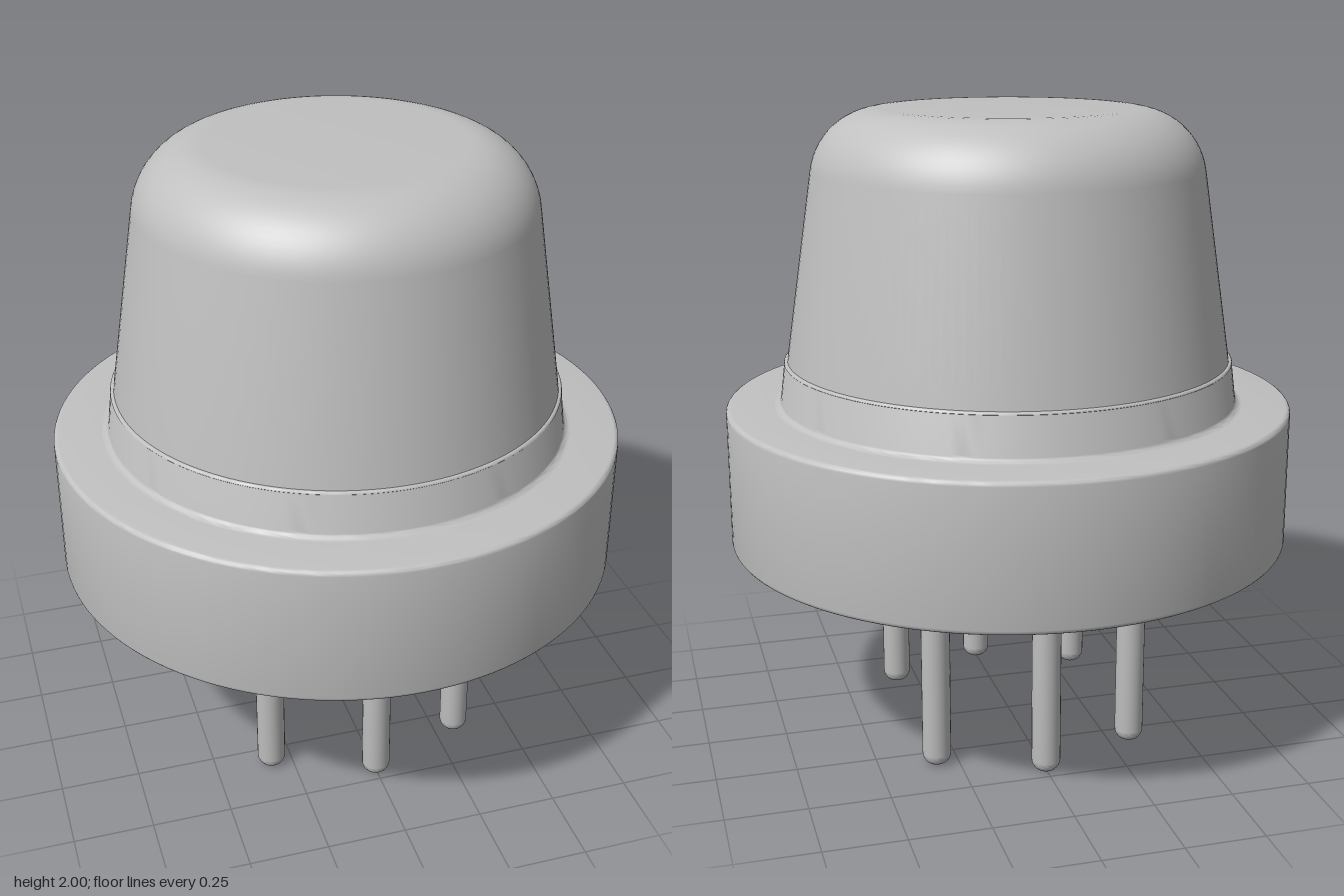
import * as THREE from 'three';
import { toCreasedNormals } from 'three/addons/utils/BufferGeometryUtils.js';

const grey = new THREE.MeshStandardMaterial({ color: 0xc0c0c0 });
grey.name = 'grey metal';

// Points along an arc in the (radius, height) plane, angles in degrees
function arc(cx, cy, r, from, to, steps) {
  const points = [];
  for (let i = 0; i <= steps; i++) {
    const a = THREE.MathUtils.degToRad(from + ((to - from) * i) / steps);
    points.push([cx + r * Math.cos(a), cy + r * Math.sin(a)]);
  }
  return points;
}

// Turned part from a bottom-to-top profile, with sharp edges kept
function turned(name, profile, segments) {
  const points = profile.map(([r, y]) => new THREE.Vector2(Math.max(r, 0), y));
  const geometry = toCreasedNormals(new THREE.LatheGeometry(points, segments), 0.6);
  const mesh = new THREE.Mesh(geometry, grey);
  mesh.name = name;
  return mesh;
}

export function createModel() {
  const model = new THREE.Group();
  model.name = 'gasSensor';

  // Round base with slightly eased rims
  model.add(turned('base', [
    [0, 0.645],
    ...arc(0.875, 0.66, 0.015, -90, 0, 4),
    ...arc(0.875, 1.075, 0.015, 0, 90, 4),
    [0.6, 1.09],
  ], 128));

  // Tapered collar, flared where it meets the base
  model.add(turned('collar', [
    ...arc(0.74, 1.112, 0.022, 270, 188, 6),
    [0.704, 1.222],
    ...arc(0.697, 1.222, 0.008, 8, 90, 3),
    [0.66, 1.23],
  ], 128));

  // Tapered cap with a broad rounded shoulder and flat top
  model.add(turned('cap', [
    [0.695, 1.225],
    ...arc(0.39, 1.782, 0.218, 9, 90, 14),
    [0, 2],
  ], 128));

  // Six round-ended pins on a ring
  const pins = new THREE.Group();
  pins.name = 'pins';
  for (const degrees of [45, 90, 135, 225, 270, 315]) {
    const a = THREE.MathUtils.degToRad(degrees);
    const pin = turned('pin', [
      [0, 0],
      ...arc(0.007, 0.038, 0.038, -90, 0, 7),
      [0.045, 0.66],
    ], 24);
    pin.position.set(0.45 * Math.cos(a), 0.005, 0.45 * Math.sin(a));
    pins.add(pin);
  }
  pins.position.y = -0.005;
  model.add(pins);
  return model;
}
